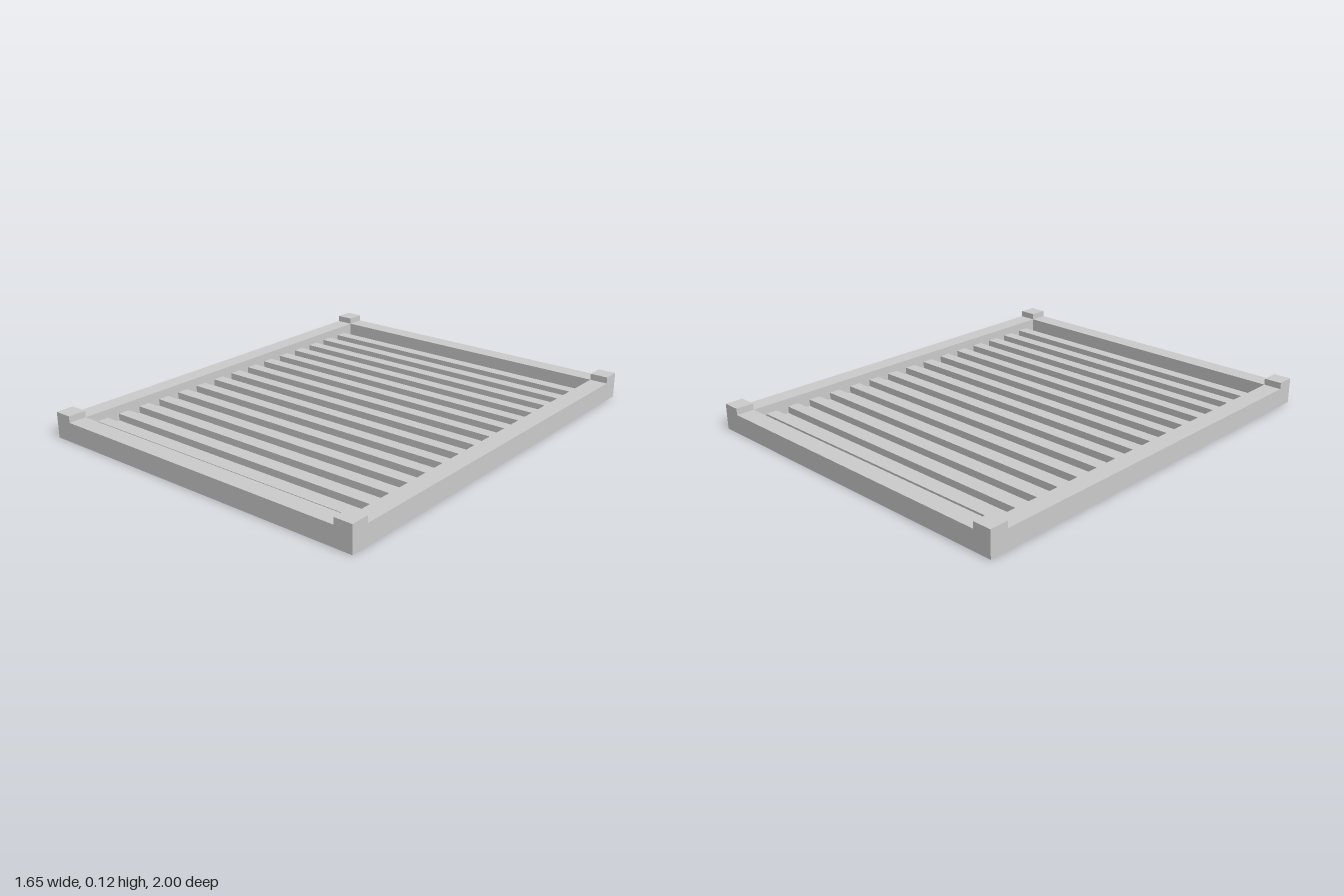
import * as THREE from 'three';

const W = 1.65, L = 2, RAIL = 0.085;
const RAIL_TOP = 0.09, POST_TOP = 0.12;
const FLOOR_TOP = 0.02, SLAT_TOP = 0.052;
const SLATS = 15, PITCH = 0.118, SLAT_DEPTH = 0.056;

export function createModel() {
  const model = new THREE.Group();
  model.name = 'slattedTray';
  const material = new THREE.MeshStandardMaterial({ color: 0xcccccc, flatShading: true });

  // Adds a box standing on height y0
  function box(name, w, h, d, x, y0, z) {
    const mesh = new THREE.Mesh(new THREE.BoxGeometry(w, h, d), material);
    mesh.name = name;
    mesh.position.set(x, y0 + h / 2, z);
    model.add(mesh);
  }

  const innerW = W - 2 * RAIL, innerL = L - 2 * RAIL;
  const railX = (W - RAIL) / 2, railZ = (L - RAIL) / 2;

  // Closed base inside the frame
  box('floor', innerW, FLOOR_TOP, innerL, 0, 0, 0);

  // Frame rails and raised corner posts
  for (const s of [1, -1]) {
    box(s > 0 ? 'leftRail' : 'rightRail', RAIL, RAIL_TOP, innerL, s * railX, 0, 0);
    box(s > 0 ? 'frontRail' : 'backRail', innerW, RAIL_TOP, RAIL, 0, 0, s * railZ);
    for (const t of [1, -1]) {
      const name = (t > 0 ? 'front' : 'back') + (s > 0 ? 'Left' : 'Right') + 'Post';
      box(name, RAIL, POST_TOP, RAIL, s * railX, 0, t * railZ);
    }
  }

  // Evenly spaced slats running from side to side
  for (let i = 0; i < SLATS; i++) {
    const z = (i - (SLATS - 1) / 2) * PITCH;
    box('slat' + (i + 1), innerW, SLAT_TOP - FLOOR_TOP, SLAT_DEPTH, 0, FLOOR_TOP, z);
  }
  return model;
}
